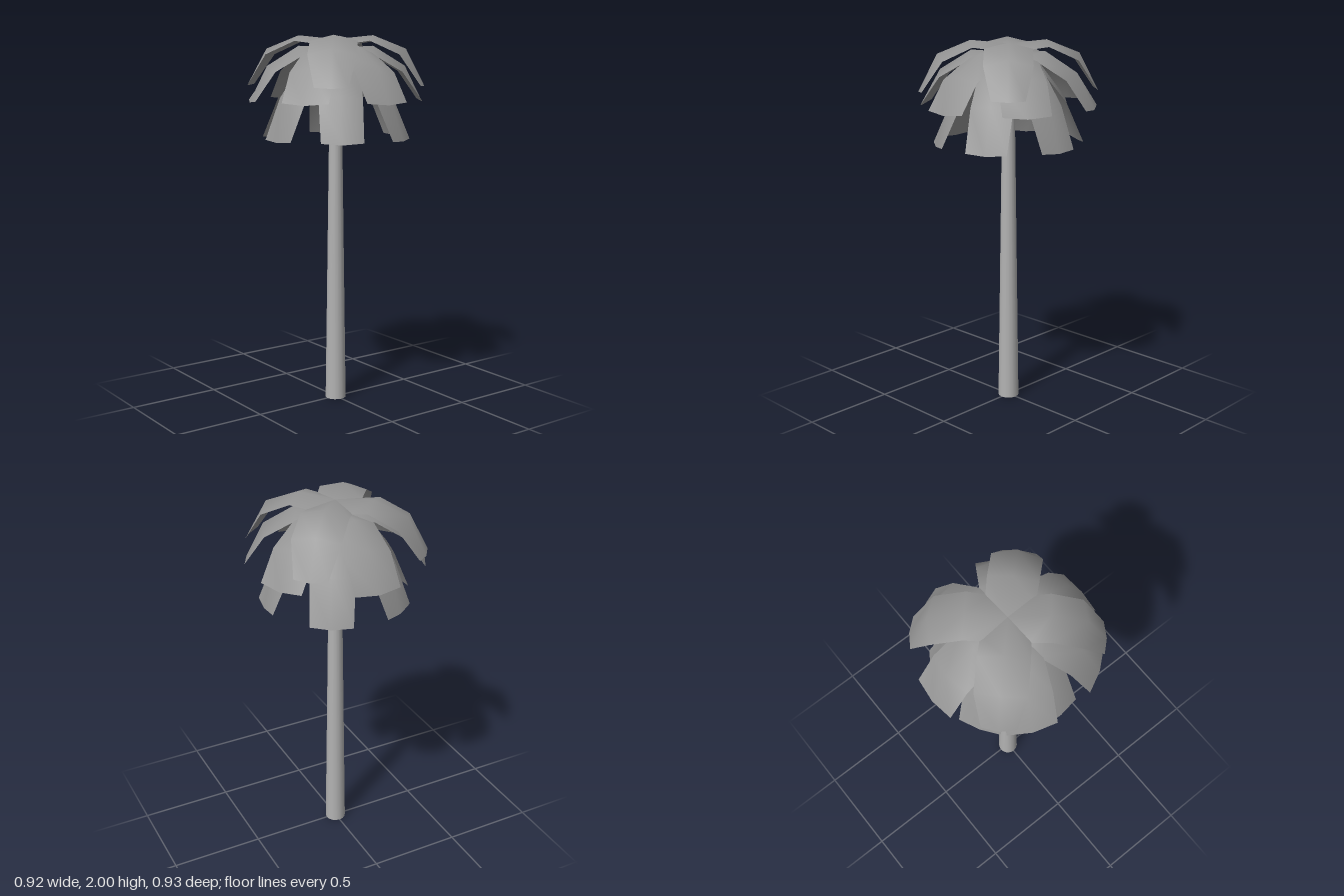
import * as THREE from 'three';

const bark = new THREE.MeshStandardMaterial({ color: 0xb2b2b2, side: THREE.DoubleSide });
const leaf = new THREE.MeshStandardMaterial({ color: 0x949494, side: THREE.DoubleSide });

// Each row of a frond: ridge radius, ridge height, edge radius, edge height, half width
const TIERS = [
  {
    name: 'upperFrond',
    angles: [-48, -136, 46, 129],
    rows: [
      [0.0, 1.98, 0.095, 1.955, 0.118],
      [0.2, 2.0, 0.2, 1.97, 0.123],
      [0.375, 1.93, 0.355, 1.9, 0.125],
      [0.475, 1.735, 0.462, 1.74, 0.085],
    ],
  },
  {
    name: 'middleFrond',
    angles: [-27, -90, -156, 146, 91, 34],
    rows: [
      [0.01, 1.935, 0.08, 1.9, 0.11],
      [0.2, 1.945, 0.19, 1.9, 0.118],
      [0.37, 1.84, 0.345, 1.81, 0.125],
      [0.465, 1.65, 0.45, 1.66, 0.125],
    ],
  },
  {
    name: 'lowerFrond',
    angles: [5, 63, 121, 177, -120, -60],
    rows: [
      [0.02, 1.915, 0.06, 1.87, 0.1],
      [0.17, 1.875, 0.15, 1.84, 0.112],
      [0.315, 1.69, 0.285, 1.675, 0.114],
      [0.395, 1.45, 0.385, 1.458, 0.11],
    ],
  },
];

// Ridged leaf strip, three points across, running outward along +x
function frondGeometry(rows) {
  const points = [];
  const index = [];
  rows.forEach(([r, y, edgeR, edgeY, half], i) => {
    points.push(edgeR, edgeY, -half, r, y, 0, edgeR, edgeY, half);
    if (i === 0) return;
    for (let j = 0; j < 2; j++) {
      const a = (i - 1) * 3 + j;
      const c = i * 3 + j;
      index.push(a, a + 1, c, a + 1, c + 1, c);
    }
  });
  const geometry = new THREE.BufferGeometry();
  geometry.setAttribute('position', new THREE.Float32BufferAttribute(points, 3));
  geometry.setIndex(index);
  geometry.computeVertexNormals();
  return geometry;
}

export function createModel() {
  const model = new THREE.Group();
  model.name = 'palmTree';

  // Tapered trunk, open at both ends
  const height = 1.93;
  const trunk = new THREE.Mesh(new THREE.CylinderGeometry(0.03, 0.057, height, 16, 1, true), bark);
  trunk.name = 'trunk';
  trunk.position.y = height / 2;
  model.add(trunk);

  // Three overlapping tiers of drooping fronds
  for (const { name, angles, rows } of TIERS) {
    const tier = new THREE.Group();
    tier.name = name + 's';
    const geometry = frondGeometry(rows);
    for (const angle of angles) {
      const frond = new THREE.Mesh(geometry, leaf);
      frond.name = name;
      frond.rotation.y = -THREE.MathUtils.degToRad(angle);
      tier.add(frond);
    }
    model.add(tier);
  }
  return model;
}
